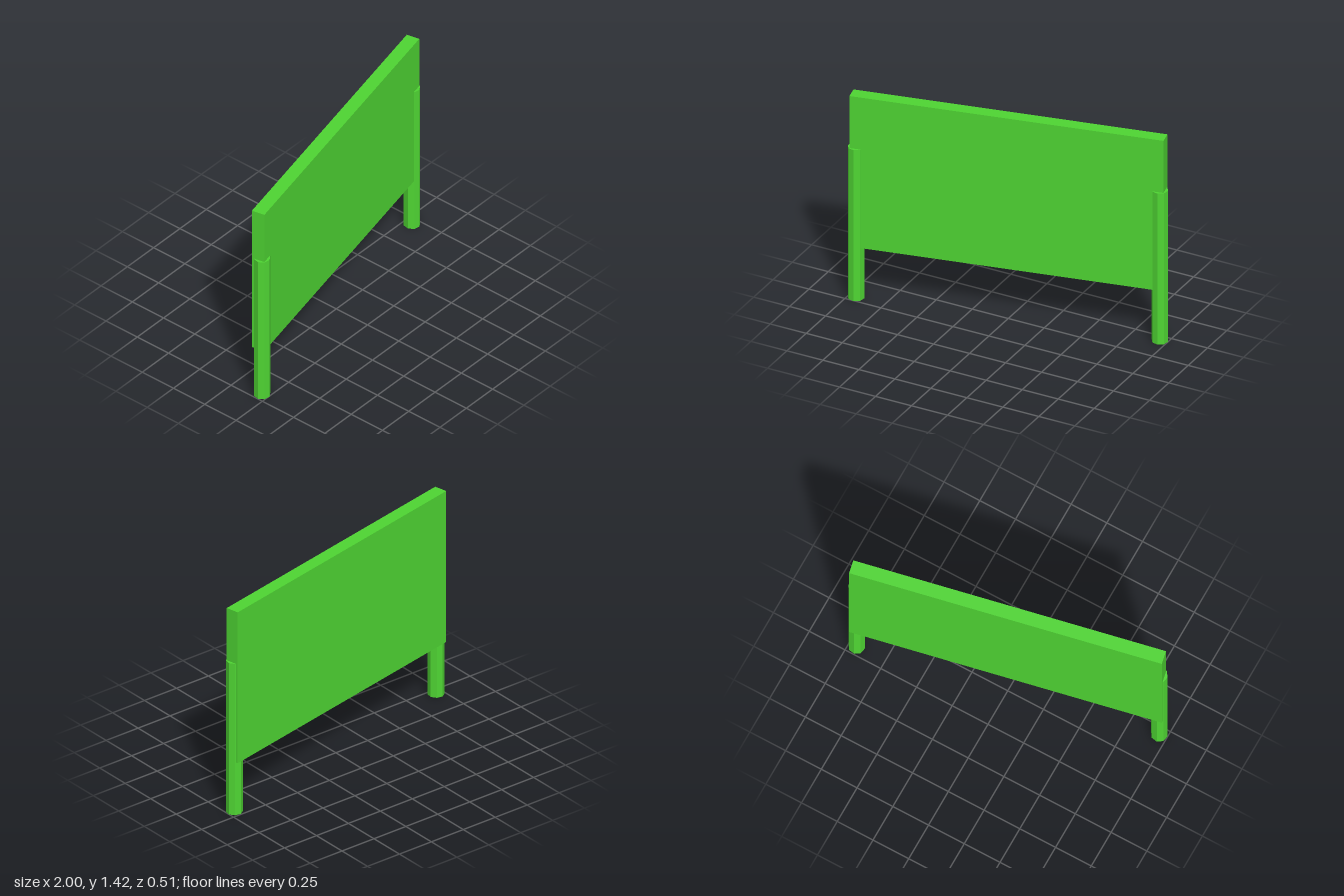
import * as THREE from 'three';

export function createModel() {
  const model = new THREE.Group();
  model.name = 'signBoard';
  const material = new THREE.MeshStandardMaterial({ color: 0x4fd633, flatShading: true });

  // The whole sign stands at a slight angle
  const sign = new THREE.Group();
  sign.name = 'angledSign';
  sign.rotation.y = THREE.MathUtils.degToRad(11.83);
  model.add(sign);

  // Board
  const bottom = 0.367, top = 1.42;
  const board = new THREE.Mesh(new THREE.BoxGeometry(2.003, top - bottom, 0.087), material);
  board.name = 'board';
  board.position.set(0, (top + bottom) / 2, -0.005);
  sign.add(board);

  // Octagonal posts, standing just proud of the board's front
  const postHeight = 1.056;
  const postGeometry = new THREE.CylinderGeometry(0.0525, 0.0525, postHeight, 8);
  for (const side of [-1, 1]) {
    const post = new THREE.Mesh(postGeometry, material);
    post.name = side > 0 ? 'leftPost' : 'rightPost';
    post.position.set(side * 0.969, postHeight / 2, 0.005);
    sign.add(post);
  }
  return model;
}
